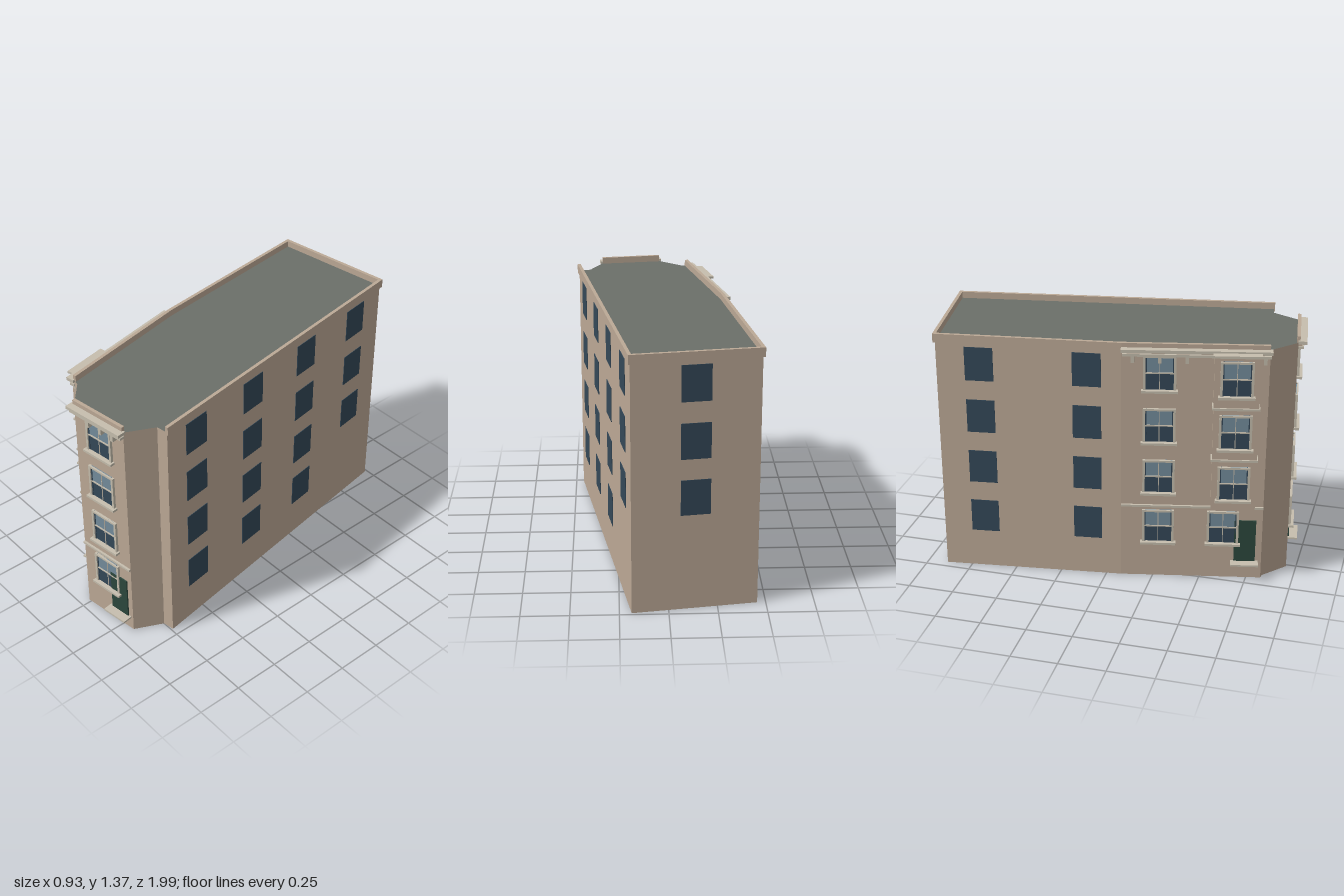
import * as THREE from 'three';

const mat = (color) => new THREE.MeshStandardMaterial({ color, flatShading: true });
const wall = mat(0xbca996), stone = mat(0xc6beae), roofGrey = mat(0x6b6f69);
const paneDark = mat(0x344858), paneLight = mat(0x748c9c), doorGreen = mat(0x2c473d);

const ROOF = 1.335;
const FLOORS = [0.213, 0.512, 0.81, 1.108]; // window sill heights

// Footprint corners [x, z], running round the building
const P = {
  backLeft: [-0.456, -0.89], bend: [-0.33, 0.08], leftFront: [-0.172, 0.828], notch: [-0.145, 0.832],
  frontLeft: [-0.015, 0.946], frontRight: [0.32, 0.9], chamfer: [0.393, 0.75],
  rightFront: [0.456, 0.74], backRight: [0.188, -0.985],
};

// Box spanning u0..u1 along the wall, y0..y1 upward, z0..z1 outward
function box(parent, name, material, u0, u1, y0, y1, z0, z1) {
  const m = new THREE.Mesh(new THREE.BoxGeometry(u1 - u0, y1 - y0, z1 - z0), material);
  m.position.set((u0 + u1) / 2, (y0 + y1) / 2, (z0 + z1) / 2);
  m.name = name;
  parent.add(m);
  return m;
}

// Group whose x runs along the wall (left to right from outside) and z points outward
function facade(root, name, a, b) {
  const g = new THREE.Group();
  const dx = b[0] - a[0], dz = b[1] - a[1];
  g.name = name;
  g.position.set(a[0], 0, a[1]);
  g.rotation.y = Math.atan2(-dz, dx);
  g.userData.length = Math.hypot(dx, dz);
  root.add(g);
  return g;
}

// Plain flat window
function plainWindow(parent, u, y, w = 0.152) {
  box(parent, 'plainWindow', paneDark, u - w / 2, u + w / 2, y + 0.006, y + 0.194, -0.002, 0.003);
}

// Framed sash window with sill
function sashWindow(parent, u, y, out = 0, w = 0.172) {
  const g = new THREE.Group();
  g.name = 'sashWindow';
  g.position.set(u, y, out);
  parent.add(g);
  const h = 0.195, r = w / 2, f = 0.013;
  box(g, 'lowerPane', paneDark, -r + f, r - f, 0, h / 2, 0, 0.005);
  box(g, 'upperPane', paneLight, -r + f, r - f, h / 2, h, 0, 0.005);
  for (const s of [-1, 1]) {
    box(g, 'frameSide', stone, s * (r - f / 2) - f / 2, s * (r - f / 2) + f / 2, 0, h, 0, 0.014);
    box(g, 'sashSide', paneDark, s * (r - f - 0.003) - 0.003, s * (r - f - 0.003) + 0.003, 0, h, 0, 0.008);
  }
  box(g, 'frameHead', stone, -r, r, h - 0.011, h, 0, 0.014);
  box(g, 'meetingRail', stone, -r + f, r - f, h / 2 - 0.003, h / 2 + 0.004, 0, 0.01);
  box(g, 'glazingBar', stone, -0.002, 0.002, 0, h, 0, 0.008);
  box(g, 'sill', stone, -r - 0.01, r + 0.01, -0.008, 0.005, 0, 0.03);
}

function doorway(parent, u, w, y, h) {
  box(parent, 'door', doorGreen, u - w / 2, u + w / 2, y, y + h, 0, 0.008);
  box(parent, 'doorStep', stone, u - w / 2 - 0.017, u + w / 2 + 0.017, y - 0.008, y + 0.002, 0, 0.055);
}

// Two-step cornice on brackets
function cornice(parent, u0, u1, brackets) {
  box(parent, 'corniceSlab', stone, u0, u1, 1.33, 1.347, 0, 0.046);
  box(parent, 'corniceMoulding', stone, u0 + 0.006, u1 - 0.006, 1.304, 1.318, 0, 0.03);
  box(parent, 'corniceFrieze', wall, u0 + 0.012, u1 - 0.012, 1.318, 1.33, 0, 0.02);
  for (const u of brackets)
    box(parent, 'bracket', stone, u - 0.009, u + 0.009, 1.27, 1.304, 0, 0.03);
}

function parapet(parent, extra = 0.01) {
  box(parent, 'parapet', wall, -extra, parent.userData.length + extra, 1.322, 1.37, -0.008, 0.01);
}

export function createModel() {
  const root = new THREE.Group();
  root.name = 'cornerBuilding';

  // Main body with grey roof and underside
  const outline = new THREE.Shape(Object.values(P).map(([x, z]) => new THREE.Vector2(x, -z)));
  const bodyGeo = new THREE.ExtrudeGeometry(outline, { depth: ROOF, bevelEnabled: false });
  bodyGeo.rotateX(-Math.PI / 2);
  const body = new THREE.Mesh(bodyGeo, [roofGrey, wall]);
  body.name = 'body';
  root.add(body);

  // Front facade
  const front = facade(root, 'frontFacade', P.frontLeft, P.frontRight);
  const fl = front.userData.length;
  for (const y of FLOORS) sashWindow(front, 0.17, y);
  doorway(front, 0.25, 0.116, 0.084, 0.25);
  box(front, 'stringCourse', stone, 0, fl, 0.426, 0.438, 0, 0.012);
  cornice(front, -0.012, fl + 0.012, [0.117, 0.203, 0.285]);
  parapet(front, 0);

  // Left street facade
  const left = facade(root, 'leftFacade', P.bend, P.leftFront);
  const ll = left.userData.length;
  for (const y of FLOORS) sashWindow(left, 0.2, y);
  sashWindow(left, 0.55, FLOORS[0]);
  doorway(left, 0.672, 0.116, 0.104, 0.25);
  box(left, 'stringCourse', stone, 0, ll, 0.426, 0.438, 0, 0.012);
  cornice(left, 0, ll + 0.012, [0.06, 0.2, 0.34, 0.74]);
  parapet(left, 0);

  // Projecting bay over the ground floor
  const bay = new THREE.Group();
  bay.name = 'bay';
  left.add(bay);
  const b0 = 0.48, b1 = 0.715, out = 0.066;
  box(bay, 'bayBody', wall, b0, b1, 0.448, 1.33, -0.005, out);
  for (const y of [0.742, 1.037])
    box(bay, 'bayBand', stone, b0 - 0.006, b1 + 0.006, y - 0.006, y + 0.006, 0, out + 0.008);
  box(bay, 'bayCap', stone, b0 - 0.008, b1 + 0.008, 1.325, 1.338, 0, out + 0.02);
  for (const y of FLOORS.slice(1)) sashWindow(bay, (b0 + b1) / 2, y, out);

  // Rear part of the left side
  const leftRear = facade(root, 'leftRearFacade', P.backLeft, P.bend);
  for (const u of [0.228, 0.797]) for (const y of FLOORS) plainWindow(leftRear, u, y);
  parapet(leftRear, 0.005);

  // Long party side; the rearmost column has no ground floor window
  const right = facade(root, 'rightFacade', P.rightFront, P.backRight);
  [0.21, 0.65, 1.09, 1.525].forEach((u, i) =>
    FLOORS.forEach((y, f) => { if (i < 3 || f > 0) plainWindow(right, u, y); }));
  parapet(right, 0.005);

  // Back wall
  const back = facade(root, 'backFacade', P.backRight, P.backLeft);
  for (const y of FLOORS.slice(1)) plainWindow(back, back.userData.length / 2, y);
  parapet(back);

  return root;
}
